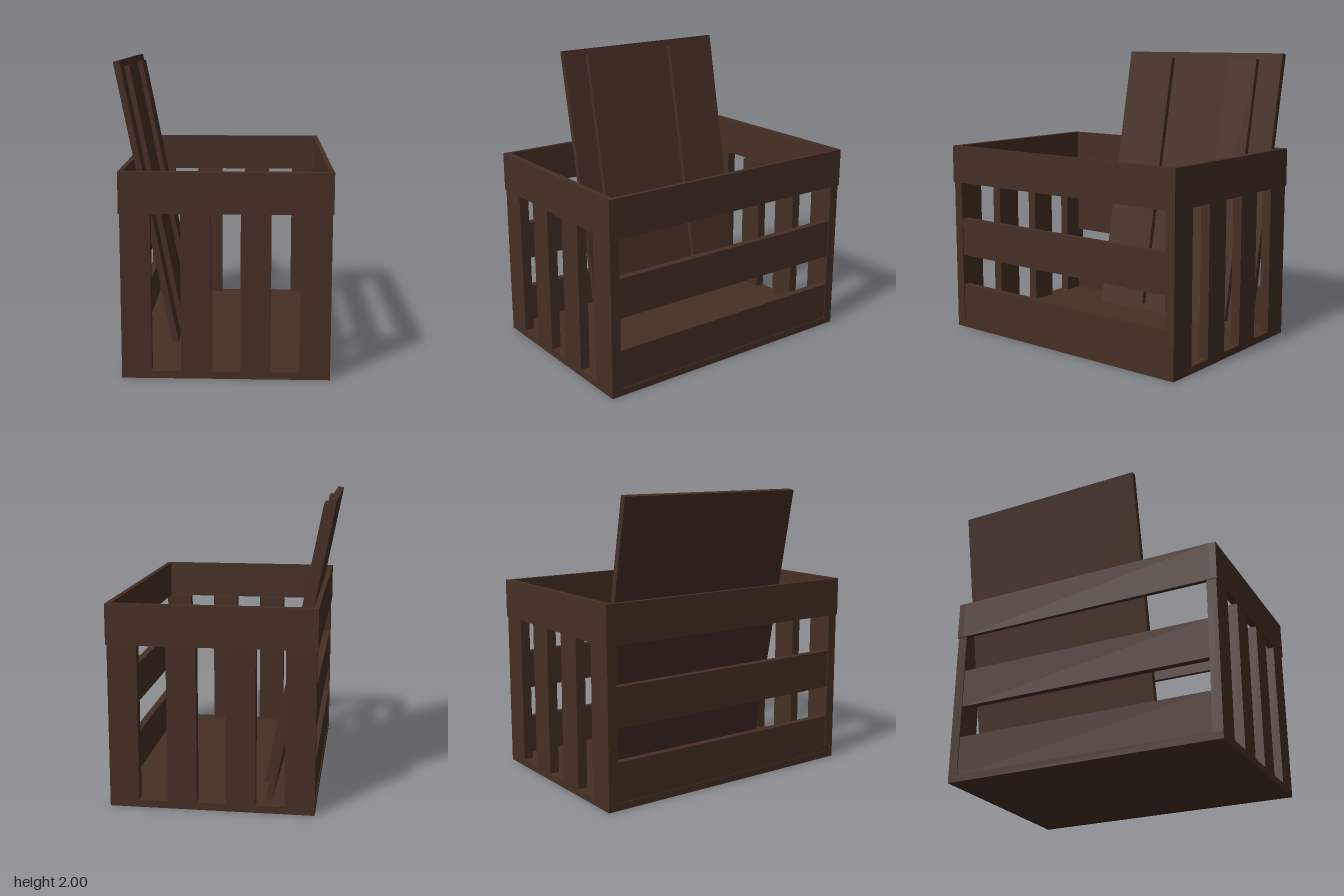
import * as THREE from 'three';

export function createModel() {
  const crate = new THREE.Group();
  crate.name = 'crate';
  const wood = new THREE.MeshStandardMaterial({ color: 0x452e24 });
  wood.name = 'dark wood';

  // Board spanning [x0,x1] x [y0,y1] x [z0,z1]
  function board(name, [x0, x1], [y0, y1], [z0, z1], parent = crate) {
    const mesh = new THREE.Mesh(new THREE.BoxGeometry(x1 - x0, y1 - y0, z1 - z0), wood);
    mesh.position.set((x0 + x1) / 2, (y0 + y1) / 2, (z0 + z1) / 2);
    mesh.name = name;
    parent.add(mesh);
  }

  const cx = 0.045; // middle of the crate; the leaning lid offsets it
  const rimY = [1.075, 1.34];

  // Floor
  board('floor', [cx - 0.666, cx + 0.666], [0, 0.048], [-0.982, 0.982]);

  // End walls: four upright slats and a rim board
  for (const s of [-1, 1]) {
    const span = (a, b) => (s > 0 ? [a, b] : [-b, -a]);
    for (let i = 0; i < 4; i++) {
      const x = cx - 0.666 + i * 0.38;
      board('endSlat', [x, x + 0.192], [0.048, 1.075], span(0.914, 0.982));
    }
    board('endRim', [cx - 0.673, cx + 0.673], rimY, span(0.942, 0.988));
  }

  // Side walls: two horizontal boards and a rim board
  for (const s of [-1, 1]) {
    const span = (a, b) => (s > 0 ? [cx + a, cx + b] : [cx - b, cx - a]);
    for (const y of [0.048, 0.54]) {
      board('sideBoard', span(0.61, 0.66), [y, y + 0.27], [-0.914, 0.914]);
    }
    board('sideRim', span(0.642, 0.673), rimY, [-0.942, 0.942]);
  }

  // Loose lid leaning inside, with two battens
  const lid = new THREE.Group();
  lid.name = 'lid';
  lid.position.set(-0.51, 1.027, -0.23);
  lid.rotation.z = 0.194;
  board('lidPanel', [-0.0215, 0.0215], [-0.987, 0.987], [-0.675, 0.675], lid);
  for (const z of [-0.368, 0.371]) {
    board('lidBatten', [0.0215, 0.057], [-0.94, 0.94], [z - 0.122, z + 0.122], lid);
  }
  crate.add(lid);

  return crate;
}
